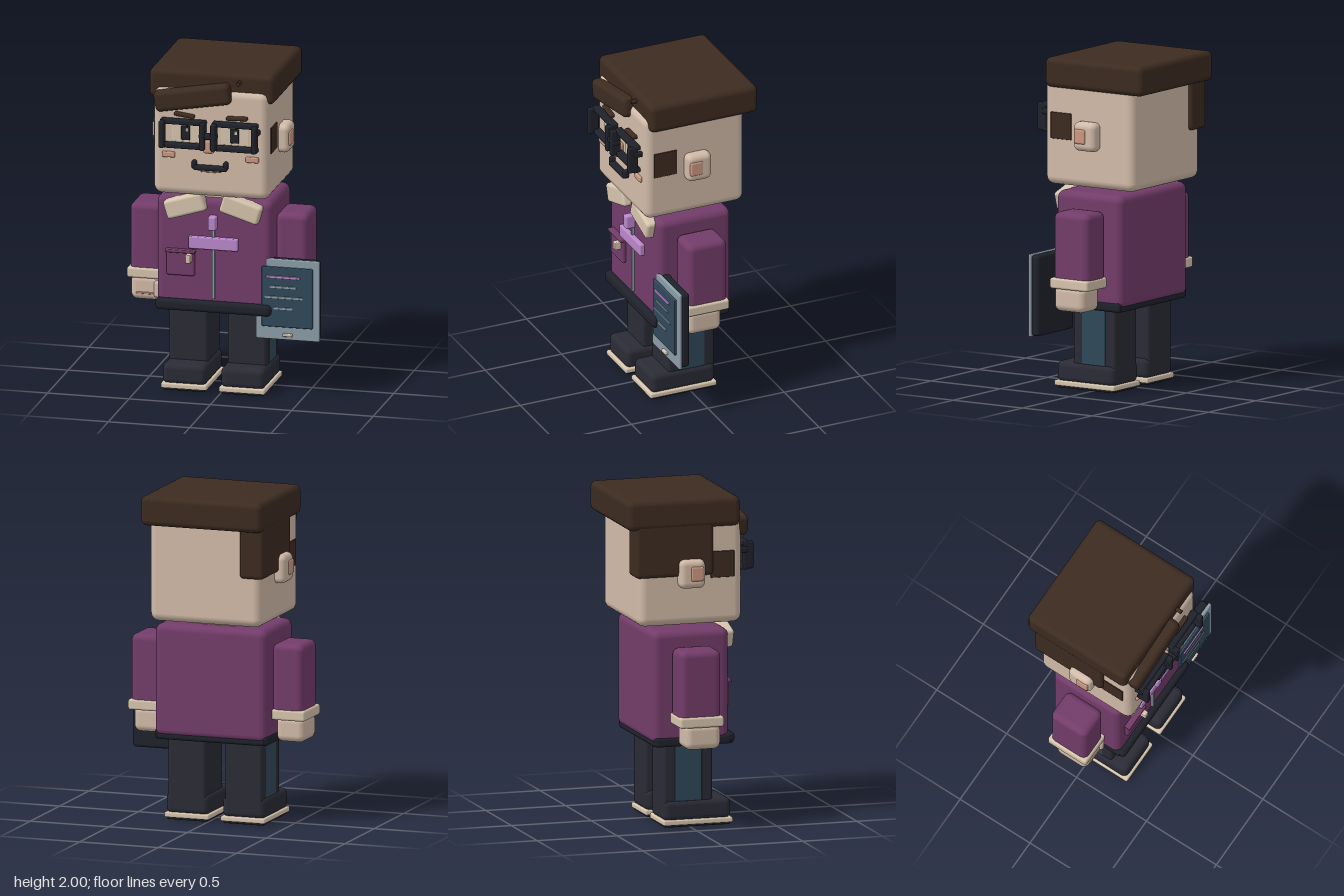
import * as THREE from 'three';
import { RoundedBoxGeometry } from 'three/addons/geometries/RoundedBoxGeometry.js';

const MID = -0.045; // x of the body's own symmetry plane

function material(name, color) {
  const m = new THREE.MeshStandardMaterial({ color });
  m.name = name;
  return m;
}

export function createModel() {
  const skin = material('skin', 0xd2bba8);
  const cream = material('cream', 0xd6c5ae);
  const hair = material('brown hair', 0x3c2b20);
  const purple = material('purple cloth', 0x733c6a);
  const lilac = material('lilac', 0xbb88cc);
  const navy = material('dark navy', 0x2a2b35);
  const black = material('near black', 0x20222b);
  const blue = material('slate blue', 0x30485a);
  const grey = material('blue grey', 0x8b9da8);
  const salmon = material('salmon', 0xcb9880);

  const model = new THREE.Group();
  model.name = 'officeWorker';
  const group = (name) => {
    const g = new THREE.Group();
    g.name = name;
    model.add(g);
    return g;
  };

  // Rounded box from its extents, with an optional tilt about z
  function box(parent, name, mat, [x0, x1], [y0, y1], [z0, z1], radius = 0.01, tilt = 0) {
    const w = x1 - x0, h = y1 - y0, d = z1 - z0;
    const r = Math.min(radius, Math.min(w, h, d) * 0.45);
    const mesh = new THREE.Mesh(new RoundedBoxGeometry(w, h, d, 3, r), mat);
    mesh.name = name;
    mesh.position.set((x0 + x1) / 2, (y0 + y1) / 2, (z0 + z1) / 2);
    mesh.rotation.z = tilt;
    parent.add(mesh);
    return mesh;
  }

  // Pair mirrored about the body's plane; x measured outward from it
  function pair(parent, name, mat, [a, b], y, z, radius, tilt = 0) {
    box(parent, name + 'Left', mat, [MID + a, MID + b], y, z, radius, tilt);
    box(parent, name + 'Right', mat, [MID - b, MID - a], y, z, radius, -tilt);
  }

  // Head and ears
  const head = group('head');
  box(head, 'skull', skin, [-0.4, 0.31], [1.23, 1.9], [-0.33, 0.317], 0.05);
  box(head, 'neck', skin, [-0.2, 0.11], [1.15, 1.27], [-0.15, 0.2], 0.03);
  pair(head, 'ear', skin, [0.33, 0.42], [1.46, 1.635], [-0.09, 0.07], 0.035);
  pair(head, 'innerEar', salmon, [0.39, 0.427], [1.505, 1.595], [-0.025, 0.055], 0.012);

  // Hair: cap, swept fringe, side panel, sideburns and a loose strand
  const hairdo = group('hair');
  box(hairdo, 'hairCap', hair, [-0.43, 0.34], [1.82, 2], [-0.405, 0.297], 0.035);
  box(hairdo, 'fringe', hair, [-0.388, 0.082], [1.782, 1.91], [0.27, 0.362], 0.03, 0.17);
  box(hairdo, 'sidePanel', hair, [-0.425, -0.27], [1.53, 1.86], [-0.355, 0.13], 0.025);
  pair(hairdo, 'sideburn', hair, [0.34, 0.361], [1.51, 1.67], [0.117, 0.265], 0.004);
  const strand = new THREE.Mesh(new THREE.CylinderGeometry(0.013, 0.013, 0.06, 12), hair);
  strand.name = 'hairStrand';
  strand.rotation.x = Math.PI / 2;
  strand.position.set(0.127, 1.95, 0.305);
  hairdo.add(strand);

  // Face
  const face = group('face');
  for (const s of [-1, 1]) {
    const x = MID + s * 0.15;
    box(face, 'eyeWhite', cream, [x - 0.085, x + 0.085], [1.565, 1.68], [0.316, 0.324], 0.003);
    box(face, 'pupil', black, [x - 0.027, x + 0.027], [1.58, 1.668], [0.32, 0.333], 0.004);
    box(face, 'eyeGlint', cream, [x + 0.002, x + 0.018], [1.635, 1.655], [0.33, 0.337], 0.002);
  }
  box(face, 'browRight', hair, [-0.265, -0.14], [1.722, 1.746], [0.31, 0.345], 0.01, -0.13);
  box(face, 'browLeft', hair, [0.055, 0.185], [1.722, 1.746], [0.31, 0.345], 0.01, 0.03);
  box(face, 'nose', salmon, [-0.08, -0.01], [1.515, 1.605], [0.31, 0.38], 0.02);
  pair(face, 'blush', salmon, [0.217, 0.297], [1.465, 1.5], [0.31, 0.332], 0.008);
  box(face, 'mouth', black, [-0.145, 0.06], [1.403, 1.432], [0.31, 0.355], 0.01);
  pair(face, 'mouthCorner', black, [0.083, 0.11], [1.41, 1.46], [0.31, 0.35], 0.01);
  box(face, 'lowerLip', salmon, [-0.105, 0.02], [1.388, 1.403], [0.31, 0.33], 0.005);

  // Glasses: two square rims with a bridge and hinges
  const glasses = group('glasses');
  for (const s of [-1, 1]) {
    const x = MID + s * 0.159;
    for (const y of [1.55, 1.698])
      box(glasses, 'rimBar', black, [x - 0.14, x + 0.14], [y - 0.016, y + 0.016], [0.325, 0.372], 0.01);
    for (const e of [-0.125, 0.125])
      box(glasses, 'rimPost', black, [x + e - 0.016, x + e + 0.016], [1.54, 1.708], [0.34, 0.405], 0.01);
  }
  box(glasses, 'bridge', black, [-0.1, 0.01], [1.608, 1.642], [0.345, 0.4], 0.012);
  pair(glasses, 'hinge', black, [0.28, 0.308], [1.64, 1.675], [0.315, 0.37], 0.01);

  // Jacket with collar, zip, badge and pocket
  const jacket = group('jacket');
  box(jacket, 'torso', purple, [-0.4, 0.31], [0.515, 1.2], [-0.243, 0.235], 0.045);
  pair(jacket, 'collar', cream, [0.048, 0.296], [1.095, 1.212], [0.2, 0.285], 0.02, -0.3);
  box(jacket, 'zip', grey, [-0.054, -0.037], [0.58, 1.02], [0.23, 0.252], 0.004);
  box(jacket, 'zipPull', lilac, [-0.07, -0.021], [1.015, 1.1], [0.235, 0.295], 0.01);
  box(jacket, 'badge', lilac, [-0.196, 0.106], [0.888, 0.963], [0.225, 0.264], 0.008);
  box(jacket, 'pocket', purple, [-0.333, -0.16], [0.714, 0.868], [0.22, 0.258], 0.012);
  box(jacket, 'pocketFlap', purple, [-0.338, -0.155], [0.857, 0.876], [0.22, 0.272], 0.006);
  box(jacket, 'pocketPen', cream, [-0.208, -0.175], [0.803, 0.855], [0.25, 0.298], 0.006);

  // Waistband as four bars
  const band = group('waistband');
  box(band, 'bandFront', black, [-0.4, 0.31], [0.497, 0.566], [0.2, 0.272], 0.025);
  box(band, 'bandBack', black, [-0.39, 0.3], [0.497, 0.545], [-0.236, -0.19], 0.02);
  pair(band, 'bandSide', black, [0.31, 0.36], [0.497, 0.558], [-0.23, 0.25], 0.02);

  // Arms
  const arms = group('arms');
  pair(arms, 'sleeve', purple, [0.35, 0.548], [0.65, 1.105], [-0.13, 0.125], 0.04);
  pair(arms, 'cuff', cream, [0.35, 0.562], [0.643, 0.708], [-0.137, 0.137], 0.014);
  pair(arms, 'hand', skin, [0.362, 0.543], [0.505, 0.66], [-0.095, 0.125], 0.04);
  pair(arms, 'thumb', skin, [0.357, 0.395], [0.53, 0.63], [0.06, 0.14], 0.015);
  pair(arms, 'fingerLine', salmon, [0.4, 0.505], [0.545, 0.557], [0.115, 0.13], 0.004);

  // Legs and shoes
  const legs = group('legs');
  pair(legs, 'leg', navy, [0.061, 0.299], [0.1, 0.53], [-0.158, 0.148], 0.02);
  pair(legs, 'trouserStripe', blue, [0.294, 0.302], [0.155, 0.505], [-0.09, 0.08], 0.003);
  pair(legs, 'shoe', navy, [0.044, 0.314], [0.035, 0.163], [-0.158, 0.26], 0.035);
  pair(legs, 'welt', cream, [0.037, 0.32], [0.012, 0.045], [-0.164, 0.27], 0.01);
  pair(legs, 'sole', black, [0.052, 0.305], [0, 0.02], [-0.15, 0.255], 0.004);

  // Tablet held at the model's left
  const tablet = group('tablet');
  box(tablet, 'tabletBack', black, [0.217, 0.598], [0.358, 0.848], [0.16, 0.215], 0.02);
  box(tablet, 'tabletFrame', grey, [0.212, 0.603], [0.353, 0.852], [0.212, 0.233], 0.008);
  box(tablet, 'screen', blue, [0.25, 0.562], [0.434, 0.805], [0.228, 0.246], 0.006);
  box(tablet, 'headingLine', lilac, [0.28, 0.487], [0.738, 0.752], [0.243, 0.254], 0.003);
  for (const [a, b, y] of [[0.3, 0.465, 0.682], [0.265, 0.503, 0.618], [0.323, 0.445, 0.55]])
    box(tablet, 'textLine', grey, [a, b], [y - 0.007, y + 0.007], [0.243, 0.251], 0.003);
  box(tablet, 'homeButton', cream, [0.378, 0.438], [0.377, 0.396], [0.228, 0.25], 0.006);

  return model;
}
